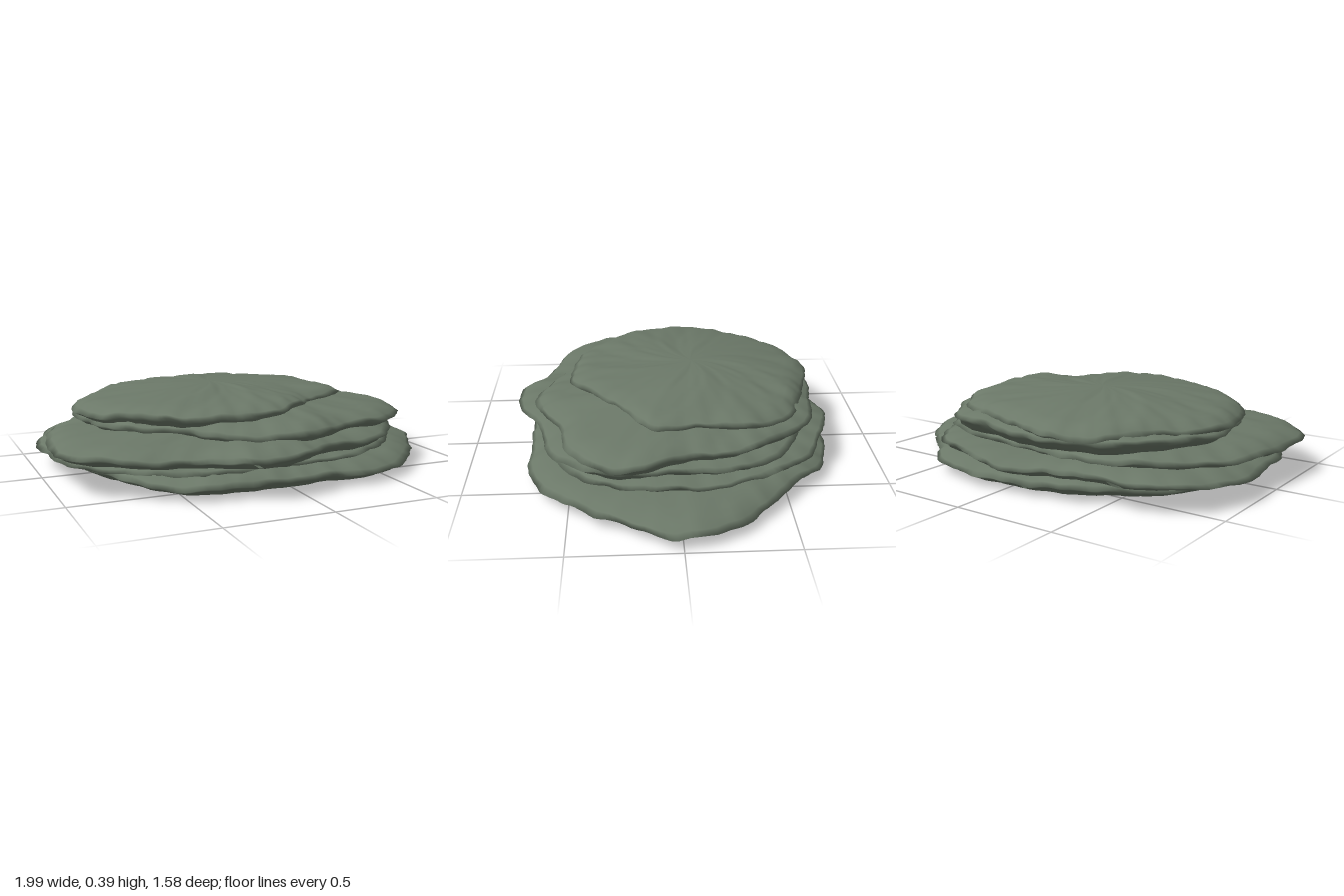
import * as THREE from 'three';

const SEG = 200;

// Slabs from bottom to top. centre: x, z of the middle; levels: height of base, rim and crown;
// tilt: rise of the rim per unit of x and z; radii: reach every 20 degrees, from +x round by the back
const slabs = [
  { name: 'baseSlab', centre: [0, 0], levels: [0, 0.055, 0.15], tilt: [0, 0],
    radii: [0.99, 0.89, 0.79, 0.81, 0.76, 0.74, 0.78, 0.83, 0.85, 0.84, 0.83, 0.83, 0.79, 0.72, 0.72, 0.8, 0.86, 0.89] },
  { name: 'secondSlab', centre: [-0.1, -0.05], levels: [0.075, 0.12, 0.19], tilt: [0.02, -0.015],
    radii: [0.84, 0.8, 0.81, 0.755, 0.75, 0.69, 0.72, 0.88, 0.9, 0.87, 0.87, 0.8, 0.73, 0.7, 0.71, 0.77, 0.84, 0.86] },
  { name: 'thirdSlab', centre: [-0.12, 0.05], levels: [0.12, 0.18, 0.26], tilt: [0.015, 0],
    radii: [0.81, 0.83, 0.83, 0.75, 0.67, 0.67, 0.74, 0.81, 0.84, 0.86, 0.9, 0.82, 0.69, 0.74, 0.72, 0.69, 0.81, 0.845] },
  { name: 'fourthSlab', centre: [0, -0.02], levels: [0.185, 0.255, 0.335], tilt: [0, -0.015],
    radii: [0.68, 0.67, 0.67, 0.7, 0.67, 0.69, 0.75, 0.81, 0.83, 0.78, 0.74, 0.63, 0.65, 0.68, 0.7, 0.66, 0.78, 0.81] },
  { name: 'topSlab', centre: [-0.12, -0.1], levels: [0.24, 0.312, 0.39], tilt: [0.025, 0.03],
    radii: [0.62, 0.66, 0.66, 0.59, 0.58, 0.62, 0.64, 0.61, 0.66, 0.7, 0.68, 0.64, 0.63, 0.61, 0.61, 0.56, 0.54, 0.67] },
];

// Cross-section from the underside to the crown: [share of radius, height],
// with height -1 at the base, 0 at the rim and 1 at the crown
const section = [[0.5, -1], [0.8, -0.98], [0.9, -0.75], [0.95, -0.45], [0.96, -0.25], [1, 0],
  [0.97, 0.18], [0.93, 0.34]];
// The upper face is a shallow dome
for (let share = 0.88; share > 0.03; share -= 0.07) section.push([share, 1 - 0.66 * share ** 2]);

// Smooth repeating noise around the slab
function ripple(a, seed) {
  let sum = 0;
  for (const k of [5, 9, 17, 31]) sum += Math.sin(k * a + seed * (k % 7 + 0.7)) / Math.sqrt(k);
  return sum;
}

function slabGeometry({ centre: [cx, cz], levels: [base, rim, crown], tilt, radii }, seed) {
  const corners = radii.map((r, i) => {
    const a = (i / radii.length) * Math.PI * 2;
    return new THREE.Vector3(r * Math.cos(a), 0, -r * Math.sin(a));
  });
  const outline = new THREE.CatmullRomCurve3(corners, true);

  const positions = [cx, base, cz];
  for (const [share, h] of section) {
    const flank = share > 0.89 && share < 1 ? 1 : 0;
    for (let i = 0; i < SEG; i++) {
      const p = outline.getPoint(i / SEG);
      const a = (i / SEG) * Math.PI * 2;
      // Scalloped outline with broken layers on the flank
      const chip = 1 + share * (0.01 * ripple(a, seed) + 0.012 * ripple(a * 2, seed))
        + flank * 0.014 * ripple(a, seed + h * 3);
      const x = cx + p.x * share * chip;
      const z = cz + p.z * share * chip;
      // Wavy, tilted rim
      const rimY = rim + tilt[0] * (cx + p.x) + tilt[1] * (cz + p.z) + 0.014 * ripple(a, seed + 4);
      let y = rimY + h * (h < 0 ? rimY - base : crown - rimY);
      // Swirling grooves on the upper face
      if (h > 0) y += 0.008 * ripple(a + share * 0.8, seed + 8) * Math.sqrt(share) * Math.min(1, h * 2, share * 3);
      positions.push(x, Math.max(y, 0), z);
    }
  }
  positions.push(cx, crown, cz);

  const index = [];
  const last = section.length - 1;
  const end = positions.length / 3 - 1;
  const at = (ring, i) => 1 + ring * SEG + (i % SEG);
  for (let i = 0; i < SEG; i++) {
    index.push(0, at(0, i + 1), at(0, i), end, at(last, i), at(last, i + 1));
    for (let r = 0; r < last; r++) {
      index.push(at(r, i), at(r, i + 1), at(r + 1, i), at(r, i + 1), at(r + 1, i + 1), at(r + 1, i));
    }
  }
  const geometry = new THREE.BufferGeometry();
  geometry.setAttribute('position', new THREE.Float32BufferAttribute(positions, 3));
  geometry.setIndex(index);
  geometry.computeVertexNormals();
  return geometry;
}

export function createModel() {
  const group = new THREE.Group();
  group.name = 'layeredRock';
  const stone = new THREE.MeshStandardMaterial({ color: 0x6b7868 });
  slabs.forEach((slab, i) => {
    const mesh = new THREE.Mesh(slabGeometry(slab, i + 1), stone);
    mesh.name = slab.name;
    group.add(mesh);
  });
  return group;
}
